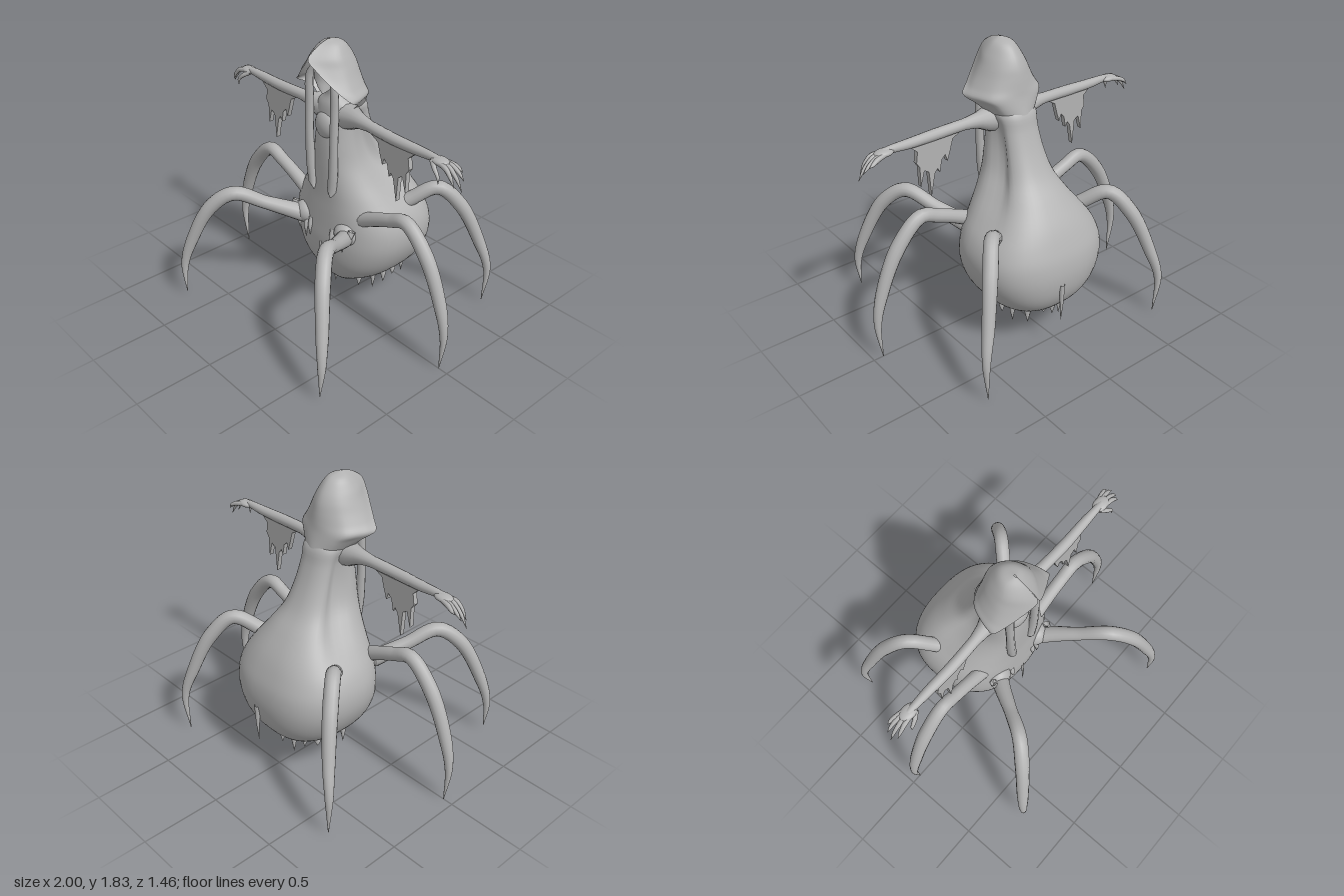
import * as THREE from 'three';
import { mergeVertices } from 'three/addons/utils/BufferGeometryUtils.js';

const V = (x, y, z) => new THREE.Vector3(x, y, z);

export function createModel() {
  const model = new THREE.Group();
  const grey = new THREE.MeshStandardMaterial({ color: 0xb2b2b2, side: THREE.DoubleSide });
  grey.name = 'ashGrey';

  const add = (parent, name, geometry, x = 0, y = 0, z = 0) => {
    const mesh = new THREE.Mesh(geometry, grey);
    mesh.name = name;
    mesh.position.set(x, y, z);
    parent.add(mesh);
    return mesh;
  };

  // Smooth skin over a list of cross-sections, splined from row to row
  const skin = (rows, steps) => {
    const cols = rows[0].map((_, j) => new THREE.CatmullRomCurve3(rows.map(r => r[j])).getPoints(steps));
    const n = cols.length, pos = [], index = [];
    for (let i = 0; i <= steps; i++) for (let j = 0; j < n; j++) pos.push(...cols[j][i].toArray());
    for (let i = 0; i < steps; i++) for (let j = 0; j < n - 1; j++) {
      const a = i * n + j, b = a + n;
      index.push(a, b, a + 1, a + 1, b, b + 1);
    }
    let g = new THREE.BufferGeometry();
    g.setAttribute('position', new THREE.Float32BufferAttribute(pos, 3));
    g.setIndex(index);
    g = mergeVertices(g, 1e-4);
    g.computeVertexNormals();
    return g;
  };

  // Tapered tube: each point is [x, y, z, radius]
  const limb = (points, sides = 12, steps = 32) => {
    const curve = new THREE.CatmullRomCurve3(points.map(p => V(p[0], p[1], p[2])));
    const g = new THREE.TubeGeometry(curve, steps, 1, sides);
    const pos = g.attributes.position, v = V(0, 0, 0);
    for (let k = 0; k < pos.count; k++) {
      const u = Math.floor(k / (sides + 1)) / steps, c = curve.getPointAt(u);
      const s = curve.getUtoTmapping(u) * (points.length - 1);
      const i = Math.min(Math.floor(s), points.length - 2);
      const r = THREE.MathUtils.lerp(points[i][3], points[i + 1][3], s - i);
      v.fromBufferAttribute(pos, k).sub(c).multiplyScalar(r).add(c);
      pos.setXYZ(k, v.x, v.y, v.z);
    }
    return g;
  };

  const ball = (parent, name, x, y, z, rx, ry, rz) =>
    add(parent, name, new THREE.SphereGeometry(1, 24, 16), x, y, z).scale.set(rx, ry, rz);

  // Robed body and swollen abdomen: y, half width, front z, back z, side pinch
  const body = [
    [0.1, 0.004, -0.17, -0.2, 0], [0.13, 0.06, -0.08, -0.28, 0], [0.19, 0.15, -0.0, -0.4, 0],
    [0.27, 0.28, 0.06, -0.53, 0], [0.37, 0.365, 0.1, -0.595, 0], [0.5, 0.42, 0.115, -0.62, 0],
    [0.62, 0.425, 0.11, -0.61, 0], [0.72, 0.39, 0.105, -0.575, 0], [0.82, 0.325, 0.1, -0.525, 0.05],
    [0.94, 0.24, 0.1, -0.44, 0.15], [1.05, 0.18, 0.1, -0.35, 0.25], [1.18, 0.15, 0.095, -0.28, 0.3],
    [1.32, 0.135, 0.08, -0.225, 0.2], [1.42, 0.13, 0.07, -0.195, 0], [1.48, 0.06, 0.05, -0.12, 0],
    [1.52, 0.04, 0.05, -0.05, 0],
  ];
  const power = (c, e) => Math.sign(c) * Math.pow(Math.abs(c), e);
  add(model, 'robedBody', skin(body.map(([y, w, zf, zb, pinch]) =>
    Array.from({ length: 49 }, (_, j) => {
      const a = (j % 48) / 48 * Math.PI * 2, s = Math.sin(a), c = Math.cos(a);
      const dent = 1 - pinch * Math.exp(-Math.pow((c + 0.15) / 0.25, 2));
      return V(w * power(s, 0.8) * dent, y, (zf + zb) / 2 + (zf - zb) / 2 * power(c, 0.8));
    })), 64));

  // Open hood: y, edge x, edge z, half width, widest z, back z
  const hood = [
    [1.825, 0, 0.05, 0.004, 0.04, 0.03], [1.8, 0, 0.12, 0.06, 0.03, -0.055],
    [1.74, 0.004, 0.2, 0.105, 0.05, -0.11], [1.68, 0.06, 0.185, 0.135, 0.04, -0.14],
    [1.62, 0.12, 0.155, 0.165, 0.04, -0.155], [1.56, 0.185, 0.12, 0.2, 0.03, -0.165],
    [1.515, 0.24, 0.08, 0.225, 0, -0.172], [1.47, 0.2, 0.0, 0.18, -0.05, -0.183],
    [1.41, 0.14, 0.0, 0.135, -0.06, -0.2],
  ];
  add(model, 'hood', skin(hood.map(([y, xe, ze, w, zm, zb]) => {
    const half = [[xe, ze], [w, zm], [0.74 * w, zm + (zb - zm) * 0.68]];
    const pts = [...half.map(([x, z]) => V(-x, y, z)), V(0, y, zb), ...half.reverse().map(([x, z]) => V(x, y, z))];
    return new THREE.CatmullRomCurve3(pts).getPoints(36);
  }), 36));

  // Face with pointed chin, and chest
  add(model, 'face', limb([[0, 1.7, 0.06, 0.03], [0, 1.64, 0.06, 0.075], [0, 1.58, 0.065, 0.068],
    [0, 1.53, 0.08, 0.035], [0, 1.5, 0.09, 0.002]], 16));
  ball(model, 'chest', 0, 1.29, 0.055, 0.09, 0.09, 0.055);

  // Thin threads hanging from front and back of the abdomen
  add(model, 'frontThread', limb([[0, 0.5, 0.11, 0.012], [0, 0.35, 0.117, 0.007], [0, 0.2, 0.118, 0.001]], 6));
  add(model, 'backThread', limb([[0.05, 0.48, -0.61, 0.02], [0.05, 0.35, -0.612, 0.012], [0.05, 0.22, -0.61, 0.001]], 6));

  // Ragged drips round the underside
  for (let i = 0; i < 18; i++) {
    const a = i / 18 * Math.PI * 2 + 0.15, k = 0.85 + 0.15 * Math.sin(i * 2.4);
    const x = 0.29 * k * Math.cos(a), z = -0.24 + 0.28 * k * Math.sin(a);
    const y = 0.27 - (1 - k) * 0.3, len = 0.06 + 0.03 * Math.sin(i * 1.7);
    add(model, 'hemDrip', limb([[x * 0.95, y + 0.05, z, 0.035], [x, y, z, 0.018], [x, y - len, z, 0.001]], 6, 8));
  }
  add(model, 'bottomDrip', limb([[0, 0.16, -0.19, 0.05], [0, 0.11, -0.19, 0.02], [0, 0.07, -0.19, 0.001]], 8, 8));

  // Leg paths for the +x side: hip, knee, shin, claw tip
  const legs = {
    frontLeg: [[0.14, 0.57, 0.03, 0.05], [0.22, 0.62, 0.12, 0.055], [0.33, 0.705, 0.29, 0.042], [0.435, 0.785, 0.45, 0.046],
      [0.535, 0.69, 0.56, 0.046], [0.64, 0.42, 0.66, 0.038], [0.68, 0.235, 0.70, 0.025], [0.67, 0.03, 0.707, 0.002]],
    sideLeg: [[0.2, 0.7, 0, 0.05], [0.38, 0.785, 0, 0.043], [0.5, 0.835, 0, 0.042], [0.62, 0.872, 0, 0.044],
      [0.785, 0.72, 0, 0.046], [0.915, 0.44, 0, 0.038], [0.955, 0.25, 0, 0.024], [0.935, 0.0, 0, 0.002]],
    backLeg: [[0.2, 0.66, -0.2, 0.05], [0.33, 0.775, -0.33, 0.046], [0.45, 0.862, -0.455, 0.045],
      [0.545, 0.735, -0.565, 0.046], [0.635, 0.47, -0.662, 0.038], [0.685, 0.27, -0.707, 0.025], [0.67, 0.01, -0.7, 0.002]],
  };

  // Tattered sleeve outline hanging below the arm
  const rag = new THREE.Shape([[0.3, 1.375], [0.33, 1.34], [0.385, 1.31], [0.405, 1.24], [0.425, 1.18], [0.44, 1.225],
    [0.465, 1.2], [0.48, 1.125], [0.495, 1.155], [0.515, 1.13], [0.543, 0.99], [0.555, 1.15], [0.585, 1.17],
    [0.612, 1.075], [0.615, 1.2], [0.635, 1.23], [0.625, 1.3], [0.68, 1.35], [0.68, 1.375]].map(p => new THREE.Vector2(...p)));

  for (const side of [1, -1]) {
    const half = new THREE.Group();
    half.name = side > 0 ? 'leftSide' : 'rightSide';
    half.scale.x = side;
    model.add(half);

    for (const [name, path] of Object.entries(legs)) add(half, name, limb(path, 14, 48));
    ball(half, 'frontHip', 0.185, 0.62, 0.07, 0.08, 0.075, 0.07);

    // Torn cloth under the front hip
    [[0.1, 0.57, 0.07], [0.14, 0.56, 0.09], [0.2, 0.57, 0.06], [0.26, 0.63, 0.05]].forEach(([x, y, len]) =>
      add(half, 'hipTatter', limb([[x, y + 0.05, 0.09, 0.025], [x, y, 0.112, 0.016], [x, y - len, 0.115, 0.001]], 6, 8)));

    // Long front lock of hair
    add(half, 'hairLock', limb([[0.07, 1.68, 0.08, 0.005], [0.105, 1.6, 0.095, 0.024], [0.11, 1.42, 0.095, 0.027],
      [0.108, 1.2, 0.1, 0.026], [0.1, 1.02, 0.098, 0.03], [0.085, 0.89, 0.095, 0.03], [0.075, 0.84, 0.1, 0.002]], 10));

    // Arm with shoulder flare, and ragged sleeve
    add(half, 'arm', limb([[0.05, 1.36, -0.02, 0.09], [0.14, 1.365, -0.015, 0.075], [0.21, 1.37, -0.01, 0.047],
      [0.3, 1.37, -0.005, 0.034], [0.5, 1.365, 0, 0.034], [0.68, 1.365, -0.005, 0.03], [0.78, 1.368, -0.005, 0.024],
      [0.84, 1.365, -0.005, 0.022]], 14));
    const sleeve = new THREE.ExtrudeGeometry(rag, { depth: 0.03, bevelEnabled: false });
    add(half, 'raggedSleeve', sleeve, 0, 0, -0.015);

    // Hand with clawed fingers
    ball(half, 'palm', 0.835, 1.363, -0.008, 0.06, 0.022, 0.042);
    [[1.0, 1.24, -0.005], [0.985, 1.29, -0.035], [0.955, 1.325, -0.055], [0.97, 1.265, 0.025]].forEach(([x, y, z]) =>
      add(half, 'finger', limb([[0.84, 1.362, z * 0.6, 0.014], [0.9, 1.352, z * 0.85, 0.015],
        [0.9 + (x - 0.9) * 0.6, 1.345 + (y - 1.345) * 0.4, z, 0.011], [x, y, z, 0.001]], 8, 16)));
    add(half, 'thumb', limb([[0.8, 1.36, 0.015, 0.016], [0.84, 1.335, 0.04, 0.014], [0.875, 1.3, 0.05, 0.01],
      [0.88, 1.26, 0.05, 0.001]], 8, 16));
  }
  return model;
}
